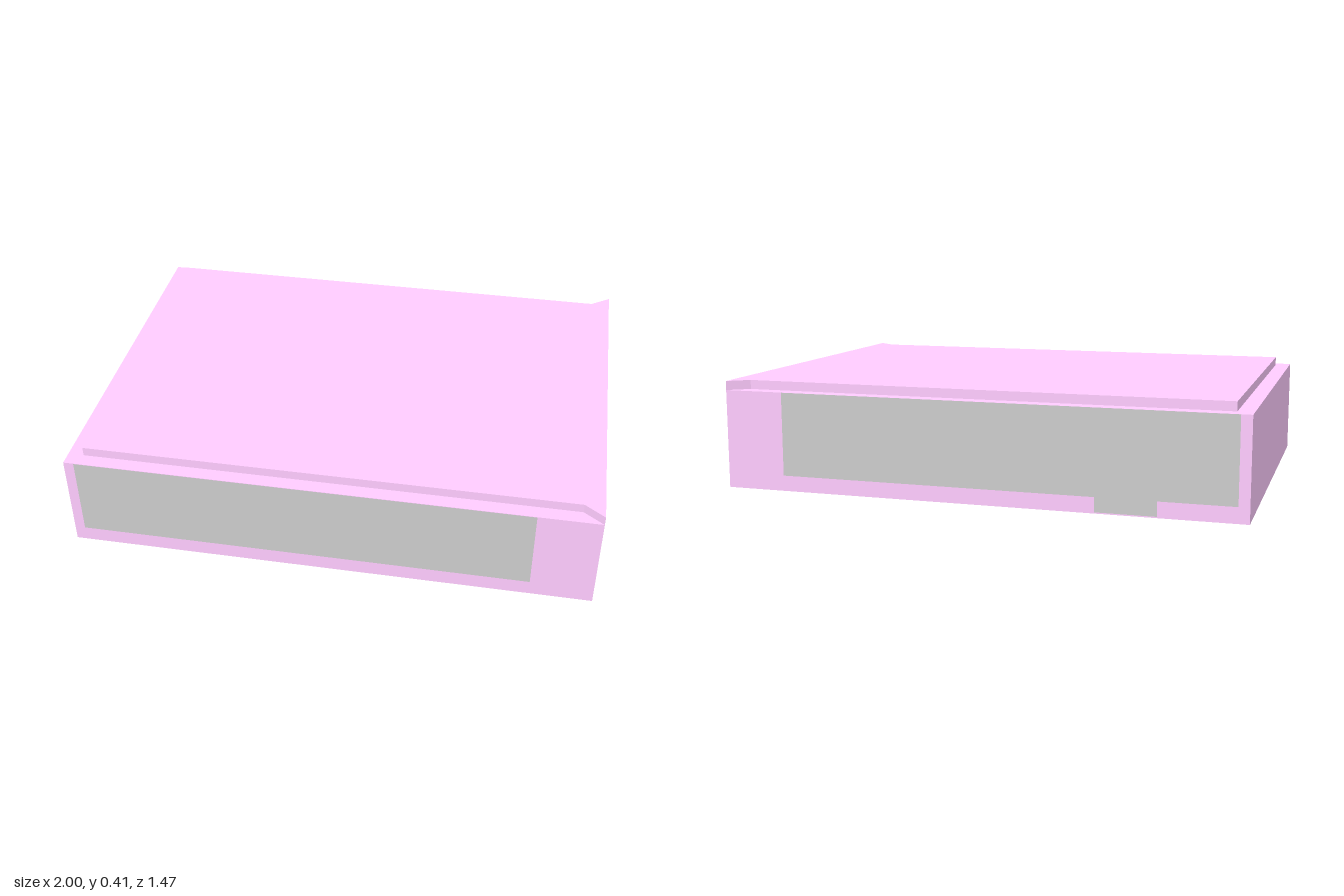
import * as THREE from 'three';

const W = 1, D = 0.735, BODY_H = 0.38, TOP_H = 0.415;

function outline(points) {
  return new THREE.Shape(points.map(([x, y]) => new THREE.Vector2(x, y)));
}

export function createModel() {
  const model = new THREE.Group();
  const pink = new THREE.MeshStandardMaterial({ color: 0xffccff, flatShading: true });
  const grey = new THREE.MeshStandardMaterial({ color: 0xcccccc, side: THREE.DoubleSide });

  const add = (name, geometry, material) => {
    const mesh = new THREE.Mesh(geometry, material);
    mesh.name = name;
    model.add(mesh);
    return mesh;
  };

  // Main block
  add('body', new THREE.BoxGeometry(2 * W, BODY_H, 2 * D).translate(0, BODY_H / 2, 0), pink);

  // Raised top plate, inset on three sides and flaring out to the +x end
  const plate = new THREE.ExtrudeGeometry(outline([
    [-0.94, -0.68], [0.925, -0.68], [W, -D], [W, D], [0.925, 0.68], [-0.94, 0.68],
  ]), { depth: TOP_H - BODY_H, bevelEnabled: false });
  plate.rotateX(-Math.PI / 2).translate(0, BODY_H, 0);
  add('topPlate', plate, pink);

  // Flat grey panels on the front and back faces; the back one has a small tab below
  const front = [[-0.96, 0.06], [0.765, 0.06], [0.765, BODY_H], [-0.96, BODY_H]];
  const back = [
    [-0.96, 0.06], [-0.68, 0.06], [-0.68, 0.005], [-0.455, 0.005], [-0.455, 0.06],
    [0.765, 0.06], [0.765, BODY_H], [-0.96, BODY_H],
  ];
  add('frontPanel', new THREE.ShapeGeometry(outline(front)), grey).position.z = D + 0.002;
  add('backPanel', new THREE.ShapeGeometry(outline(back)), grey).position.z = -D - 0.002;

  return model;
}
